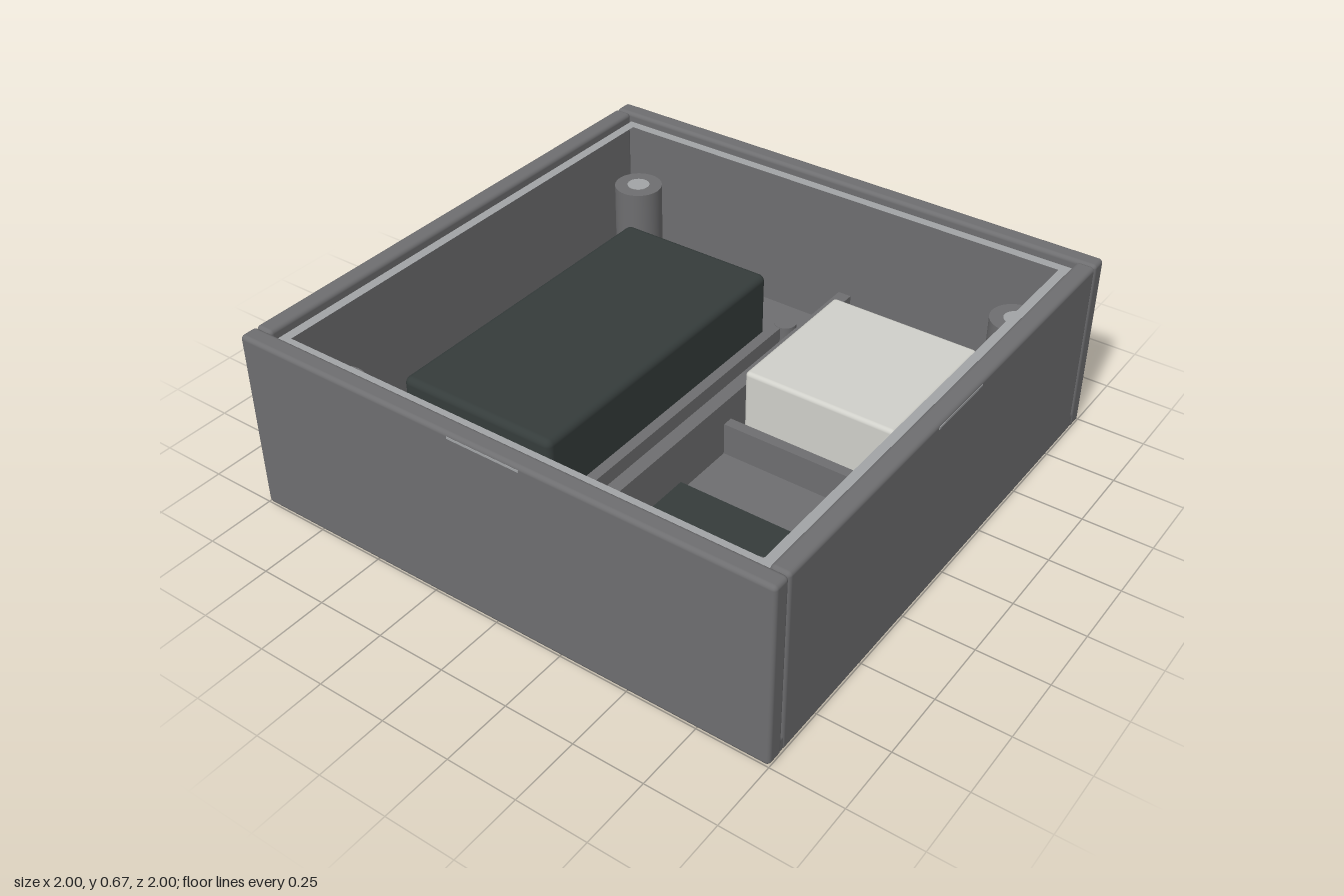
import * as THREE from 'three';
import { RoundedBoxGeometry } from 'three/addons/geometries/RoundedBoxGeometry.js';

export function createModel() {
  const model = new THREE.Group();
  model.name = 'electronicsEnclosure';

  const mat = (name, color) => {
    const m = new THREE.MeshStandardMaterial({ color });
    m.name = name;
    return m;
  };
  const shell = mat('shellGrey', 0x6e6e70);
  const light = mat('lightGrey', 0xa2a4a6);
  const dark = mat('darkSlate', 0x353c3b);
  const white = mat('offWhite', 0xd0d0ca);

  const add = (name, geometry, material, x = 0, y = 0, z = 0) => {
    const mesh = new THREE.Mesh(geometry, material);
    mesh.name = name;
    mesh.position.set(x, y, z);
    model.add(mesh);
    return mesh;
  };
  // Box given by its limits, with an optional edge radius
  const block = (name, material, [x0, x1], [y0, y1], [z0, z1], r = 0) => {
    const s = [x1 - x0, y1 - y0, z1 - z0];
    const g = r ? new RoundedBoxGeometry(...s, 3, r) : new THREE.BoxGeometry(...s);
    return add(name, g, material, (x0 + x1) / 2, (y0 + y1) / 2, (z0 + z1) / 2);
  };
  // Rectangular frame lying flat: outer and inner limits as [x0, x1, z0, z1]
  const frame = (name, material, outer, inner, y0, y1) => {
    const trace = (p, [x0, x1, z0, z1]) =>
      p.moveTo(x0, -z0).lineTo(x1, -z0).lineTo(x1, -z1).lineTo(x0, -z1).closePath();
    const shape = new THREE.Shape();
    trace(shape, outer);
    const hole = new THREE.Path();
    trace(hole, inner);
    shape.holes.push(hole);
    const g = new THREE.ExtrudeGeometry(shape, { depth: y1 - y0, bevelEnabled: false });
    g.rotateX(-Math.PI / 2);
    return add(name, g, material, 0, y0, 0);
  };
  const pillar = (name, material, r, y0, y1, x, z) =>
    add(name, new THREE.CylinderGeometry(r, r, y1 - y0, 40), material, x, (y0 + y1) / 2, z);

  const floorY = 0.067, H = 0.67;

  // Floor and four walls
  block('floor', shell, [-0.998, 0.998], [0, floorY], [-0.998, 0.998], 0.015);
  for (const s of [-1, 1]) {
    const span = [s * 0.933, s].sort((a, b) => a - b);
    const side = s < 0 ? 'back' : 'front';
    block(side + 'Wall', shell, [-1, 1], [0, H], span, 0.015);
    block(s < 0 ? 'rightWall' : 'leftWall', shell, span, [0.002, H], [-0.934, 0.934], 0.015);

    // Thin lid latch marks near the top of every wall
    const skin = [s * 0.999, s * 1.001].sort((a, b) => a - b);
    block(side + 'LatchMark', light, [-0.135, 0.135], [0.649, 0.657], skin);
    block(s < 0 ? 'rightLatchMark' : 'leftLatchMark', light, skin, [0.649, 0.657], [-0.135, 0.135]);
  }

  // Sealing strip inside the rim
  frame('gasket', light, [-0.925, 0.925, -0.925, 0.925], [-0.89, 0.89, -0.89, 0.89], 0.61, 0.64);

  // Screw posts with inserts
  for (const x of [-0.8, 0.8]) for (const z of [-0.8, 0.8]) {
    pillar('screwPost', shell, 0.09, floorY, 0.46, x, z);
    pillar('screwInsert', light, 0.042, 0.455, 0.462, x, z);
  }

  // Battery in its tray
  frame('batteryTray', shell, [-0.78, -0.03, -0.69, 0.68], [-0.74, -0.07, -0.65, 0.64], floorY, 0.19);
  block('battery', dark, [-0.71, -0.09], [floorY, 0.405], [-0.62, 0.61], 0.025);

  // White module in its tray
  frame('moduleTray', shell, [0.12, 0.79, -0.76, -0.03], [0.13, 0.755, -0.72, -0.07], floorY, 0.19);
  block('module', white, [0.16, 0.73], [floorY, 0.37], [-0.68, -0.11], 0.015);

  // Tray corner pins
  for (const [x, z] of [[-0.035, -0.67], [-0.035, 0.66], [0.22, -0.715], [0.775, -0.715]])
    pillar('trayPin', shell, 0.042, floorY, 0.192, x, z);

  // Partition, cable and circuit board
  block('partition', shell, [0.085, 0.135], [floorY, 0.28], [-0.84, 0.66]);
  block('cable', dark, [-0.1, 0.17], [0.09, 0.13], [-0.36, -0.27]);
  block('circuitBoard', dark, [0.13, 0.755], [floorY, 0.105], [0.22, 0.66]);

  // Port and vent panels on the inner face of the front wall
  const ports = [
    ['vent', [0.69, 0.73], [0.15, 0.35]],
    ['vent', [0.6, 0.64], [0.15, 0.35]],
    ['widePort', [0.14, 0.41], [0.2, 0.33]],
    ['smallPort', [-0.51, -0.28], [0.15, 0.28]],
  ];
  for (const [name, x, y] of ports) block(name, dark, x, y, [0.928, 0.934]);

  return model;
}
